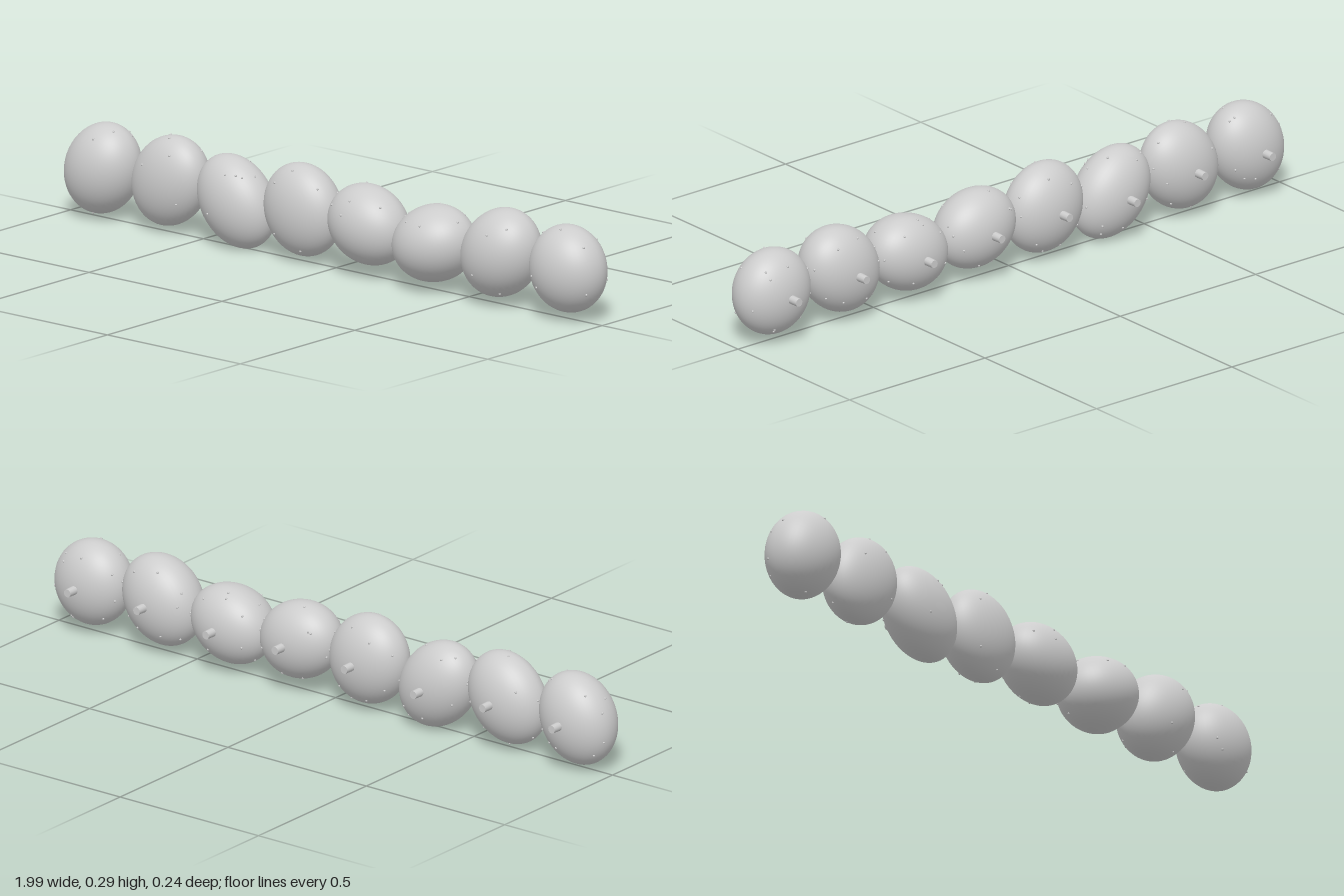
import * as THREE from 'three';

export function createModel() {
  const model = new THREE.Group();
  const stoneGrey = new THREE.MeshStandardMaterial({ color: 0xcccccc });
  stoneGrey.name = 'stoneGrey';

  // seeded generator for the specks on the rear
  let seed = 17;
  const rand = () => (seed = (seed * 16807) % 2147483647) / 2147483647;

  // each pebble: centre y, half width, half height, front depth, tilt in degrees,
  // and the front specks as offsets [x, y] from its centre
  const BACK = 0.092;
  const pebbles = [
    { y: 0.153, w: 0.117, h: 0.139, d: 0.104, tilt: -25, specks: [[0.02, 0.1], [0.06, 0.12], [-0.095, 0.08], [-0.015, -0.13]] },
    { y: 0.158, w: 0.121, h: 0.142, d: 0.08, tilt: -36, specks: [[-0.05, 0.05], [0.045, 0.09], [0.07, -0.05], [0.015, 0.13]] },
    { y: 0.14, w: 0.115, h: 0.145, d: 0.09, tilt: 40, specks: [[0.01, 0.09], [0.04, 0.09], [0.057, 0.085], [-0.04, -0.03], [0.08, 0.09]] },
    { y: 0.158, w: 0.128, h: 0.137, d: 0.085, tilt: 25, specks: [[-0.055, 0.08], [-0.005, 0.12], [-0.055, -0.07], [0.03, -0.11], [0.085, 0.08]] },
    { y: 0.157, w: 0.133, h: 0.115, d: 0.104, tilt: -18, specks: [[-0.085, 0.055], [-0.025, 0.04], [-0.01, 0.08], [0.08, 0.07]] },
    { y: 0.145, w: 0.133, h: 0.112, d: 0.121, tilt: 20, specks: [[-0.09, 0.075], [-0.04, 0.07], [0.02, 0.07], [0.1, 0.08]] },
    { y: 0.16, w: 0.12, h: 0.14, d: 0.109, tilt: -38, specks: [[0.02, 0.07], [0.07, 0.09], [-0.03, -0.055], [0.03, -0.11]] },
    { y: 0.155, w: 0.122, h: 0.128, d: 0.102, tilt: 10, specks: [[-0.08, 0.095], [-0.07, -0.02], [-0.05, -0.05], [0.0, 0.12], [0.085, 0.08], [0.1, -0.055]] },
  ];

  // ellipsoid whose front and back halves differ in depth
  function bodyGeometry({ w, h, d }) {
    const geo = new THREE.SphereGeometry(1, 48, 32);
    const p = geo.attributes.position;
    const n = geo.attributes.normal;
    for (let i = 0; i < p.count; i++) {
      const x = p.getX(i), y = p.getY(i), z = p.getZ(i);
      const depth = z > 0 ? d : BACK;
      p.setXYZ(i, x * w, y * h, z * depth);
      const v = new THREE.Vector3(x / w, y / h, z / depth).normalize();
      n.setXYZ(i, v.x, v.y, v.z);
    }
    return geo;
  }

  const stemGeo = new THREE.CylinderGeometry(0.012, 0.0135, 0.045, 12).rotateX(-Math.PI / 2);
  const speckGeo = new THREE.SphereGeometry(0.0036, 8, 6);

  pebbles.forEach((s, i) => {
    const pebble = new THREE.Group();
    pebble.name = 'pebble' + (i + 1);
    pebble.position.set(-0.875 + i * 0.25, s.y, 0);
    pebble.rotation.z = THREE.MathUtils.degToRad(s.tilt);

    const body = new THREE.Mesh(bodyGeometry(s), stoneGrey);
    body.name = 'body';
    pebble.add(body);

    // mounting stem at the rear
    const stem = new THREE.Mesh(stemGeo, stoneGrey);
    stem.name = 'stem';
    stem.position.z = -0.1;
    stem.rotation.z = -pebble.rotation.z;
    pebble.add(stem);

    // specks resting on the surface, given in unit-disc coordinates
    const addSpeck = (ux, uy, depth) => {
      const speck = new THREE.Mesh(speckGeo, stoneGrey);
      speck.name = 'speck';
      speck.position.set(ux * s.w, uy * s.h, Math.sqrt(1 - ux * ux - uy * uy) * depth);
      pebble.add(speck);
    };
    const c = Math.cos(pebble.rotation.z), sn = Math.sin(pebble.rotation.z);
    for (const [x, y] of s.specks) {
      const ux = (x * c + y * sn) / s.w, uy = (-x * sn + y * c) / s.h;
      const k = Math.min(1, 0.995 / Math.hypot(ux, uy));
      addSpeck(ux * k, uy * k, s.d);
    }
    for (let j = 0; j < 9; j++) {
      const a = (j + rand()) / 9 * Math.PI * 2, r = 0.6 + 0.395 * Math.sqrt(rand());
      addSpeck(Math.cos(a) * r, Math.sin(a) * r, -BACK);
    }
    model.add(pebble);
  });

  return model;
}
